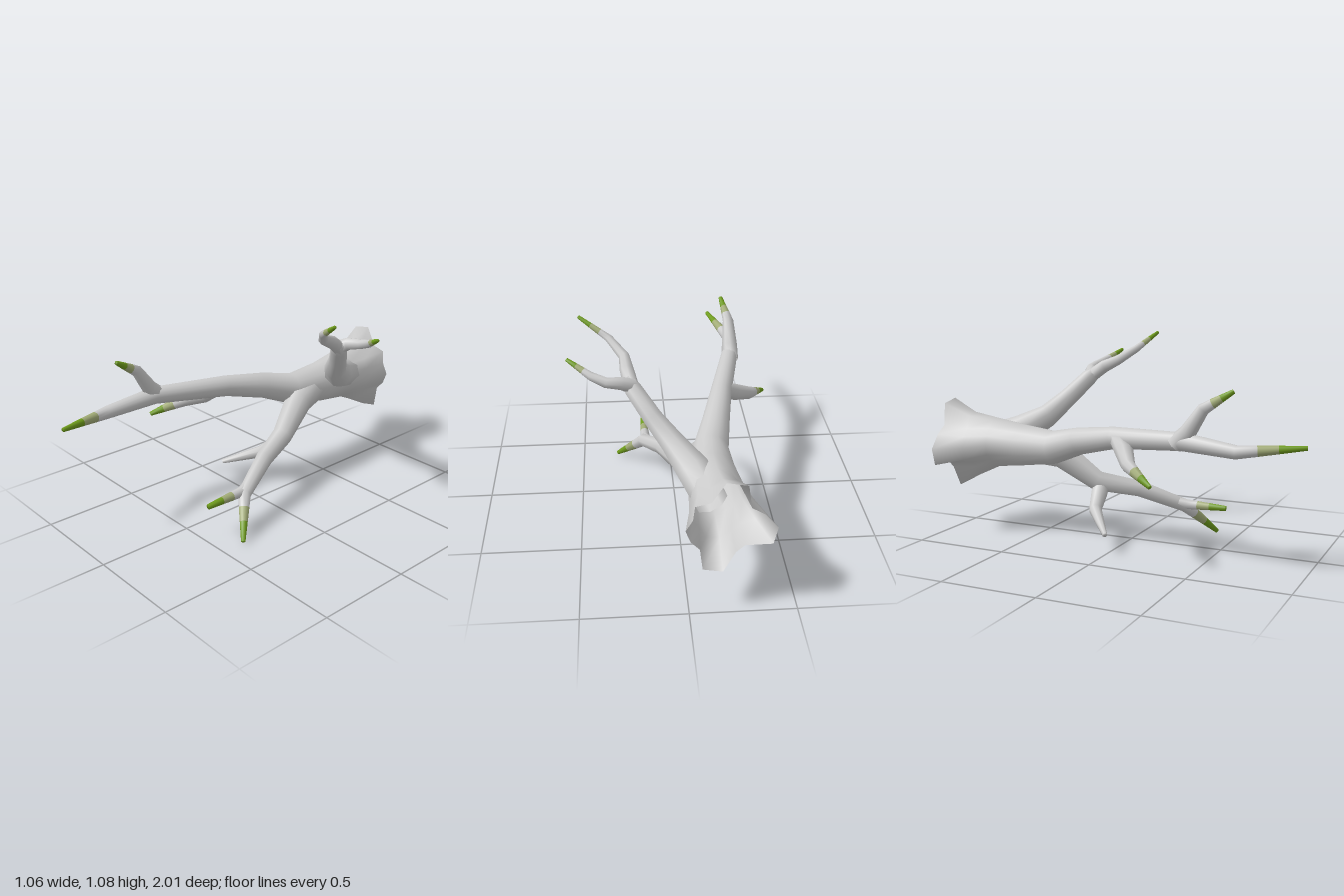
import * as THREE from 'three';

const makeMaterial = (color) => new THREE.MeshStandardMaterial({ color, side: THREE.DoubleSide });
const bark = makeMaterial(0xcccccc);
const fading = makeMaterial(0xa3ad78);
const green = makeMaterial(0x6f9c1c);

// Flared root outline: radius at each 22.5 degree step
const FLARE = [0.17, 0.15, 0.185, 0.16, 0.25, 0.25, 0.16, 0.19,
  0.235, 0.235, 0.13, 0.14, 0.24, 0.24, 0.15, 0.16];

// Lofts rings along points [x, y, z, radius, flare amount]; the last segment may turn green
function limb(name, path, { sides = 8, greenTip = true } = {}) {
  const rings = path.map((p) => [...p]);
  const a = path[path.length - 2], b = path[path.length - 1];
  if (greenTip) {
    const between = [0.3, 0.6].map((t) => [0, 1, 2, 3].map((k) => a[k] + (b[k] - a[k]) * t));
    rings.splice(rings.length - 1, 0, ...between);
  }
  const centres = rings.map((r) => new THREE.Vector3(r[0], r[1], r[2]));
  const last = rings.length - 1;
  const positions = [];
  const u = new THREE.Vector3(1, 0, 0), v = new THREE.Vector3(), t = new THREE.Vector3();
  rings.forEach(([, , , radius, flare = 0], i) => {
    t.subVectors(centres[Math.min(i + 1, last)], centres[Math.max(i - 1, 0)]).normalize();
    // Carry the frame along the path so that the limb does not twist
    if (i === 0 && Math.abs(t.x) > 0.9) u.set(0, 1, 0);
    u.addScaledVector(t, -u.dot(t)).normalize();
    v.crossVectors(t, u);
    for (let j = 0; j < sides; j++) {
      const angle = (j / sides) * Math.PI * 2;
      const r = flare ? THREE.MathUtils.lerp(radius, FLARE[j], flare) : radius;
      const p = centres[i].clone()
        .addScaledVector(u, Math.cos(angle) * r)
        .addScaledVector(v, Math.sin(angle) * r);
      positions.push(p.x, p.y, p.z);
    }
  });
  positions.push(...centres[last].toArray());

  const bands = rings.slice(1).map((_, i) => {
    const index = [];
    for (let j = 0; j < sides; j++) {
      const p = i * sides + j, q = i * sides + ((j + 1) % sides);
      index.push(p, q, p + sides, q, q + sides, p + sides);
      if (i === last - 1) index.push(p + sides, q + sides, (last + 1) * sides);
    }
    return index;
  });
  const whole = new THREE.BufferGeometry();
  whole.setAttribute('position', new THREE.Float32BufferAttribute(positions, 3));
  whole.setIndex(bands.flat());
  whole.computeVertexNormals();

  // Coloured pieces share the same smooth normals
  const group = new THREE.Group();
  group.name = name;
  const piece = (label, list, material) => {
    const geometry = new THREE.BufferGeometry();
    geometry.setAttribute('position', whole.getAttribute('position').clone());
    geometry.setAttribute('normal', whole.getAttribute('normal').clone());
    geometry.setIndex(list.flat());
    const mesh = new THREE.Mesh(geometry, material);
    mesh.name = label;
    group.add(mesh);
  };
  if (greenTip) {
    piece(name + 'Wood', bands.slice(0, -2), bark);
    piece(name + 'FadingBand', bands.slice(-2, -1), fading);
    piece(name + 'GreenTip', bands.slice(-1), green);
  } else piece(name + 'Wood', bands, bark);
  return group;
}

export function createModel() {
  const model = new THREE.Group();
  model.name = 'branch';

  // Trunk, open and flared at the back, running into the long front limb
  model.add(limb('trunk', [
    [-0.15, 0.475, -1, 0.125, 1], [-0.15, 0.48, -0.86, 0.125, 0.4],
    [-0.14, 0.495, -0.74, 0.12, 0.12], [-0.14, 0.49, -0.58, 0.112],
    [-0.155, 0.495, -0.38, 0.088], [-0.2, 0.55, -0.2, 0.07],
    [-0.25, 0.59, 0.02, 0.056], [-0.345, 0.615, 0.42, 0.045],
    [-0.37, 0.59, 0.69, 0.033], [-0.277, 0.617, 0.995, 0.011],
  ], { sides: 16 }));

  // Side shoots of the long limb
  model.add(limb('upperShoot', [
    [-0.345, 0.6, 0.38, 0.045], [-0.348, 0.66, 0.445, 0.042],
    [-0.345, 0.775, 0.52, 0.03], [-0.315, 0.86, 0.655, 0.011],
  ]));
  model.add(limb('sideShoot', [
    [-0.27, 0.59, 0.05, 0.045], [-0.33, 0.54, 0.11, 0.046],
    [-0.425, 0.495, 0.175, 0.035], [-0.525, 0.425, 0.33, 0.011],
  ]));

  // Lower limb with its fork and bare twig
  model.add(limb('lowerLimb', [
    [-0.14, 0.49, -0.56, 0.09], [-0.085, 0.445, -0.37, 0.077],
    [-0.025, 0.305, -0.19, 0.056], [0.06, 0.265, 0.02, 0.045],
    [0.155, 0.175, 0.24, 0.036], [0.3, 0.012, 0.375, 0.012],
  ]));
  model.add(limb('lowerFork', [
    [0.12, 0.205, 0.16, 0.028], [0.145, 0.185, 0.25, 0.028], [0.15, 0.183, 0.472, 0.014],
  ]));
  model.add(limb('bareTwig', [
    [-0.01, 0.3, -0.17, 0.045], [-0.06, 0.245, -0.165, 0.044],
    [-0.145, 0.18, -0.145, 0.034], [-0.315, 0.103, -0.005, 0.013],
  ], { greenTip: false }));

  // Upper limb with two forks
  model.add(limb('upperLimb', [
    [-0.11, 0.5, -0.82, 0.08], [-0.05, 0.55, -0.65, 0.085],
    [0.04, 0.63, -0.53, 0.062], [0.13, 0.725, -0.45, 0.05],
    [0.215, 0.83, -0.365, 0.045], [0.245, 0.87, -0.325, 0.03],
  ], { greenTip: false }));
  model.add(limb('outerFork', [
    [0.22, 0.845, -0.355, 0.037], [0.27, 0.872, -0.375, 0.033],
    [0.345, 0.886, -0.388, 0.026], [0.415, 0.912, -0.365, 0.021], [0.525, 0.97, -0.302, 0.009],
  ]));
  model.add(limb('innerFork', [
    [0.225, 0.84, -0.355, 0.037], [0.244, 0.895, -0.28, 0.034],
    [0.255, 0.93, -0.205, 0.027], [0.325, 0.99, -0.125, 0.02], [0.47, 1.077, -0.055, 0.009],
  ]));
  return model;
}
